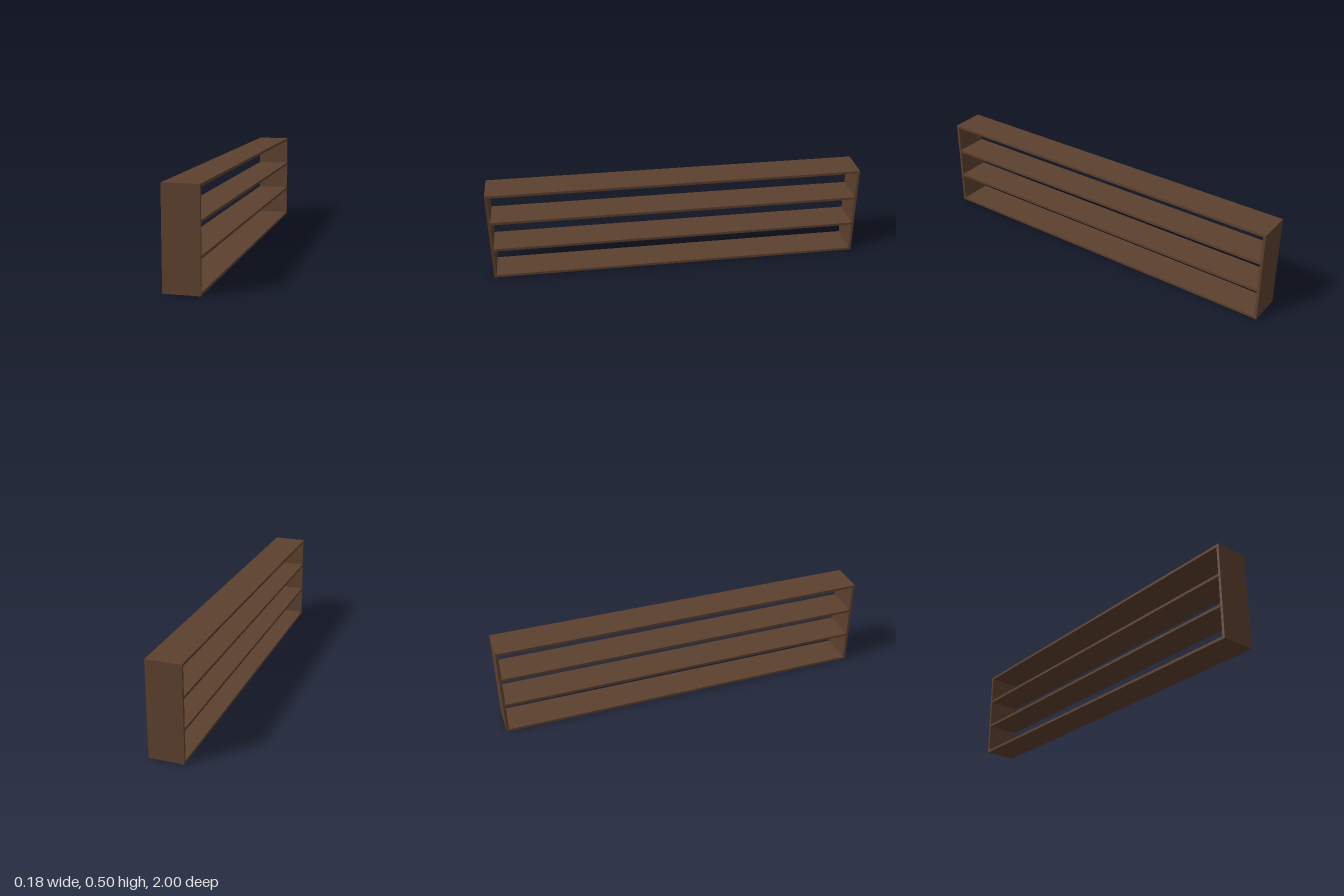
import * as THREE from 'three';

export function createModel() {
  const group = new THREE.Group();
  group.name = 'openShelf';
  const wood = new THREE.MeshStandardMaterial({ color: 0x5c402d });
  wood.name = 'dark brown wood';

  const depth = 0.18, height = 0.502, length = 2, board = 0.014;
  const inner = length - 2 * board;

  function addBoard(name, h, l, y, z) {
    const mesh = new THREE.Mesh(new THREE.BoxGeometry(depth, h, l), wood);
    mesh.name = name;
    mesh.position.set(0, y, z);
    group.add(mesh);
  }

  // End panels, full height
  for (const [name, side] of [['frontEndPanel', 1], ['backEndPanel', -1]]) {
    addBoard(name, height, board, height / 2, side * (length - board) / 2);
  }

  // Top and bottom boards between the end panels
  addBoard('bottomBoard', board, inner, board / 2, 0);
  addBoard('topBoard', board, inner, height - board / 2, 0);

  // Two inner shelves, open on both long sides
  addBoard('lowerShelf', board, inner, 0.173, 0);
  addBoard('upperShelf', board, inner, 0.335, 0);

  return group;
}
